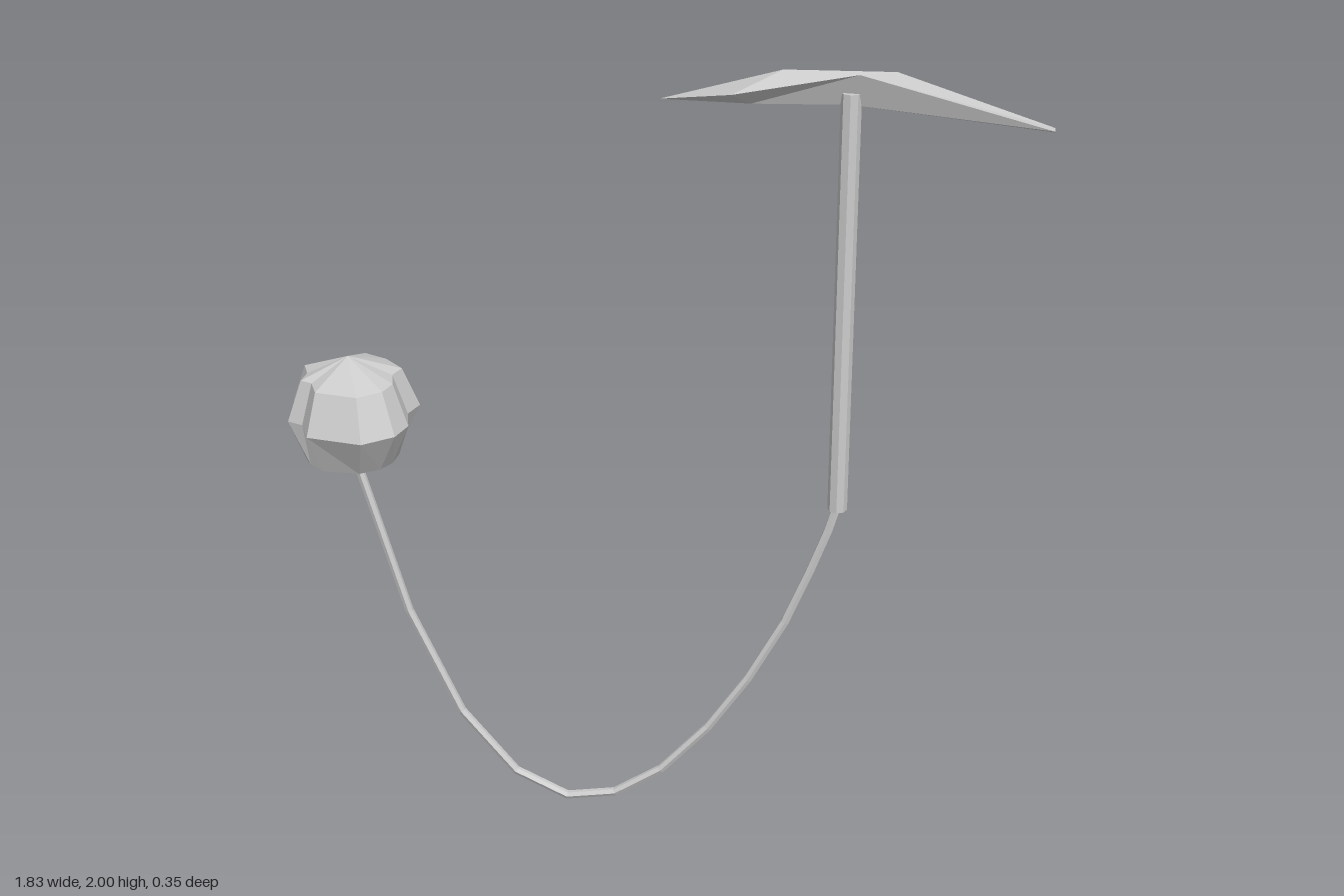
import * as THREE from 'three';

const material = new THREE.MeshStandardMaterial({ color: 0xcccccc, flatShading: true });

function add(group, name, geometry) {
  const mesh = new THREE.Mesh(geometry, material);
  mesh.name = name;
  group.add(mesh);
  return mesh;
}

// Skin closed loops of equal length, turning right-handed about the travel direction
function loft(loops) {
  const pos = [];
  const n = loops[0].length;
  for (let r = 0; r < loops.length - 1; r++) {
    for (let i = 0; i < n; i++) {
      const j = (i + 1) % n;
      const a = loops[r][i], b = loops[r][j], c = loops[r + 1][i], d = loops[r + 1][j];
      if (r > 0 || a.join() !== b.join()) pos.push(...a, ...b, ...c);
      if (c.join() !== d.join()) pos.push(...b, ...d, ...c);
    }
  }
  const g = new THREE.BufferGeometry();
  g.setAttribute('position', new THREE.Float32BufferAttribute(pos, 3));
  g.computeVertexNormals();
  return g;
}

const repeat = (p, n) => Array.from({ length: n }, () => p);

// Straight-segment path through the rope's knots
class Polyline extends THREE.Curve {
  constructor(points) {
    super();
    this.points = points;
  }
  getPoint(t, target = new THREE.Vector3()) {
    const s = t * (this.points.length - 1);
    const i = Math.min(Math.floor(s), this.points.length - 2);
    return target.lerpVectors(this.points[i], this.points[i + 1], s - i);
  }
  getUtoTmapping(u) {
    return u;
  }
}

export function createModel() {
  const model = new THREE.Group();

  // Handle
  add(model, 'handle', new THREE.CylinderGeometry(0.024, 0.024, 1.06, 8))
    .position.set(0.45, 1.42, 0);

  // Blade: sections of back ridge, front ridge and lower edge
  add(model, 'blade', loft([
    repeat([0, 1.89, -0.065], 3),
    [[0.29, 1.982, -0.042], [0.18, 1.94, 0.032], [0.22, 1.906, -0.015]],
    [[0.55, 1.99, -0.038], [0.47, 2, 0.028], [0.45, 1.92, 0]],
    [[0.91, 1.886, -0.01], [0.91, 1.886, 0.015], [0.91, 1.88, 0.003]],
    repeat([0.912, 1.882, 0.003], 3),
  ]));

  // Rope, sagging slightly forward
  const knots = [
    [0.45, 0.9], [0.43, 0.83], [0.39, 0.72], [0.33, 0.57], [0.24, 0.4], [0.14, 0.25], [0.02, 0.115],
    [-0.1, 0.035], [-0.225, 0.013], [-0.36, 0.075], [-0.5, 0.24], [-0.63, 0.52], [-0.757, 0.95],
  ].map(([x, y]) => new THREE.Vector3(x, y, 0.03 * (1 - y / 0.95)));
  add(model, 'rope', new THREE.TubeGeometry(new Polyline(knots), knots.length - 1, 0.011, 6));

  // Lumpy weight: irregular outline scaled per level, with a rounder flat base
  const cx = -0.76;
  const outline = [
    [0.01, -0.175], [0.09, -0.14], [0.158, -0.075], [0.14, -0.02], [0.158, 0.05], [0.14, 0.115],
    [0.07, 0.172], [-0.07, 0.152], [-0.1, 0.085], [-0.14, 0.07], [-0.135, 0.01], [-0.16, -0.05],
  ];
  const ring = (y, s) => outline.map(([x, z]) => [cx + x * s, y, z * s]);
  const base = outline.map(([x, z]) => {
    const k = 0.115 / Math.hypot(x, z);
    return [cx + x * k, 0.948, z * k];
  });
  add(model, 'weight', loft([
    repeat([cx, 1.215, 0], outline.length),
    ring(1.165, 0.76),
    ring(1.06, 1),
    base,
    repeat([cx, 0.932, 0], outline.length),
  ]));

  return model;
}
